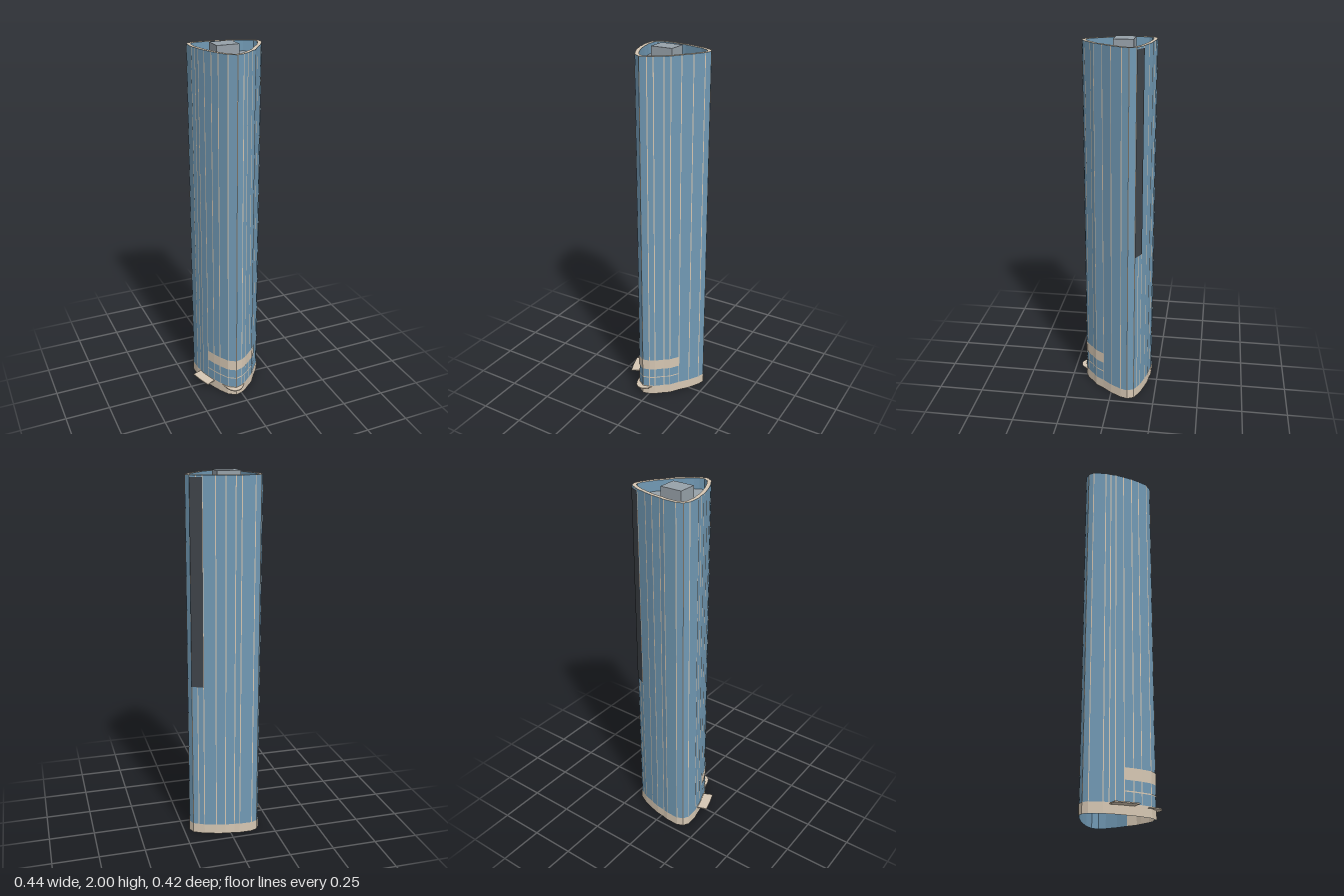
import * as THREE from 'three';

// Tower plan as [x, z]: back-left corner, along the back, round the front and up the side
const PLAN = [
  [-0.12, -0.207], [-0.05, -0.207], [-0.02, -0.2], [0.03, -0.195], [0.08, -0.182], [0.143, -0.163],
  [0.172, -0.148], [0.2, -0.133], [0.215, -0.098], [0.203, -0.06], [0.17, -0.003], [0.13, 0.047],
  [0.097, 0.095], [0.07, 0.115], [0.03, 0.15], [0.002, 0.166], [-0.035, 0.176], [-0.075, 0.15],
  [-0.105, 0.1], [-0.125, 0.058], [-0.143, 0.01], [-0.157, -0.035], [-0.162, -0.065],
  [-0.17, -0.095], [-0.17, -0.165], [-0.153, -0.193],
];
const N = PLAN.length;
const TOP = 1.985, ROOF = 1.93;
const LOBBY = [11, 20]; // plan corners spanned by the lobby
const SCREEN = [5, 7]; // plan corners spanned by the dark louvres

const direction = (a, b) => {
  const l = Math.hypot(b[0] - a[0], b[1] - a[1]);
  return [(b[0] - a[0]) / l, (b[1] - a[1]) / l];
};

// Plan moved outward by d with mitred corners
function offsetPlan(d) {
  return PLAN.map((p, i) => {
    const u = direction(PLAN[(i + N - 1) % N], p);
    const v = direction(p, PLAN[(i + 1) % N]);
    const n = [u[1] + v[1], -u[0] - v[0]];
    const k = (2 * d) / (n[0] * n[0] + n[1] * n[1]);
    return [p[0] + n[0] * k, p[1] + n[1] * k];
  });
}

// Vertical faceted wall along a run of points
function wall(points, y0, y1, inward = false) {
  const pos = [];
  for (let i = 0; i < points.length - 1; i++) {
    const [a, b] = inward ? [points[i + 1], points[i]] : [points[i], points[i + 1]];
    const q = [[b[0], y0, b[1]], [a[0], y0, a[1]], [a[0], y1, a[1]], [b[0], y1, b[1]]];
    for (const k of [0, 1, 2, 0, 2, 3]) pos.push(...q[k]);
  }
  const g = new THREE.BufferGeometry();
  g.setAttribute('position', new THREE.Float32BufferAttribute(pos, 3));
  g.computeVertexNormals();
  return g;
}

const toShape = (pts) => new THREE.Shape(pts.map(([x, z]) => new THREE.Vector2(x, -z)));
const closed = (pts) => [...pts, pts[0]];
const run = (pts, [from, to]) => pts.slice(from, to + 1);

function flat(shape, y) {
  return new THREE.ShapeGeometry(shape).rotateX(-Math.PI / 2).translate(0, y, 0);
}

export function createModel() {
  const mat = (name, color, side = THREE.FrontSide) => {
    const m = new THREE.MeshStandardMaterial({ color, side });
    m.name = name;
    return m;
  };
  const glass = mat('blue glass', 0x7199b4, THREE.DoubleSide);
  const stone = mat('beige stone', 0xd6c7b3);
  const grey = mat('roof grey', 0x97a1a9);
  const dark = mat('dark louvre', 0x40454b);

  const model = new THREE.Group();
  model.name = 'tower';
  const add = (name, geometry, material, parent = model) => {
    const m = new THREE.Mesh(geometry, material);
    m.name = name;
    parent.add(m);
    return m;
  };

  // Glass shell, open underneath, with a parapet round the roof
  const inner = offsetPlan(-0.02);
  add('glassShell', wall(closed(PLAN), 0, TOP), glass);
  add('parapetInside', wall(closed(inner), ROOF, TOP, true), glass);
  const rim = toShape(PLAN);
  rim.holes.push(toShape(inner));
  add('parapetCap', flat(rim, TOP), stone);
  add('roof', flat(toShape(inner), ROOF), grey);
  add('roofPlantRoom', new THREE.BoxGeometry(0.123, 2 - ROOF, 0.104), grey)
    .position.set(-0.0115, (2 + ROOF) / 2, -0.049);

  // Slim fins folded over every corner of the shell
  const fins = new THREE.Group();
  fins.name = 'fins';
  model.add(fins);
  const skin = offsetPlan(0.0015);
  skin.forEach((p, i) => {
    const u = direction(skin[(i + N - 1) % N], p);
    const v = direction(p, skin[(i + 1) % N]);
    const w = 0.0025;
    const strip = [[p[0] - u[0] * w, p[1] - u[1] * w], p, [p[0] + v[0] * w, p[1] + v[1] * w]];
    add('fin', wall(strip, 0.055, TOP), stone, fins);
  });

  // Base band, lobby bands and lobby lining
  const face = offsetPlan(0.003);
  add('baseBand', wall(closed(face), 0, 0.056), stone);
  add('lobbyBand', wall(run(face, LOBBY), 0.172, 0.234), stone);
  add('lobbyLine', wall(run(face, LOBBY), 0.113, 0.119), stone);
  add('lobbyLining', wall(run(offsetPlan(-0.004), LOBBY), 0, 0.234, true), stone);

  // Dark louvres high on the back
  add('louvres', wall(run(face, SCREEN), 0.88, 1.975), dark);

  // Thin entrance canopies
  const canopies = {
    frontCanopy: [[-0.105, 0.09], [-0.088, 0.16], [-0.075, 0.188], [-0.057, 0.203], [-0.037, 0.206],
      [-0.018, 0.202], [0, 0.188], [0.032, 0.148], [-0.035, 0.168], [-0.07, 0.145]],
    sideCanopy: [[-0.218, -0.043], [-0.2, 0.023], [-0.177, 0.085], [-0.12, 0.057], [-0.138, 0.01], [-0.156, -0.065]],
  };
  for (const [name, pts] of Object.entries(canopies)) {
    const g = new THREE.ExtrudeGeometry(toShape(pts), { depth: 0.006, bevelEnabled: false });
    add(name, g.rotateX(-Math.PI / 2).translate(0, 0.046, 0), stone);
  }
  return model;
}
